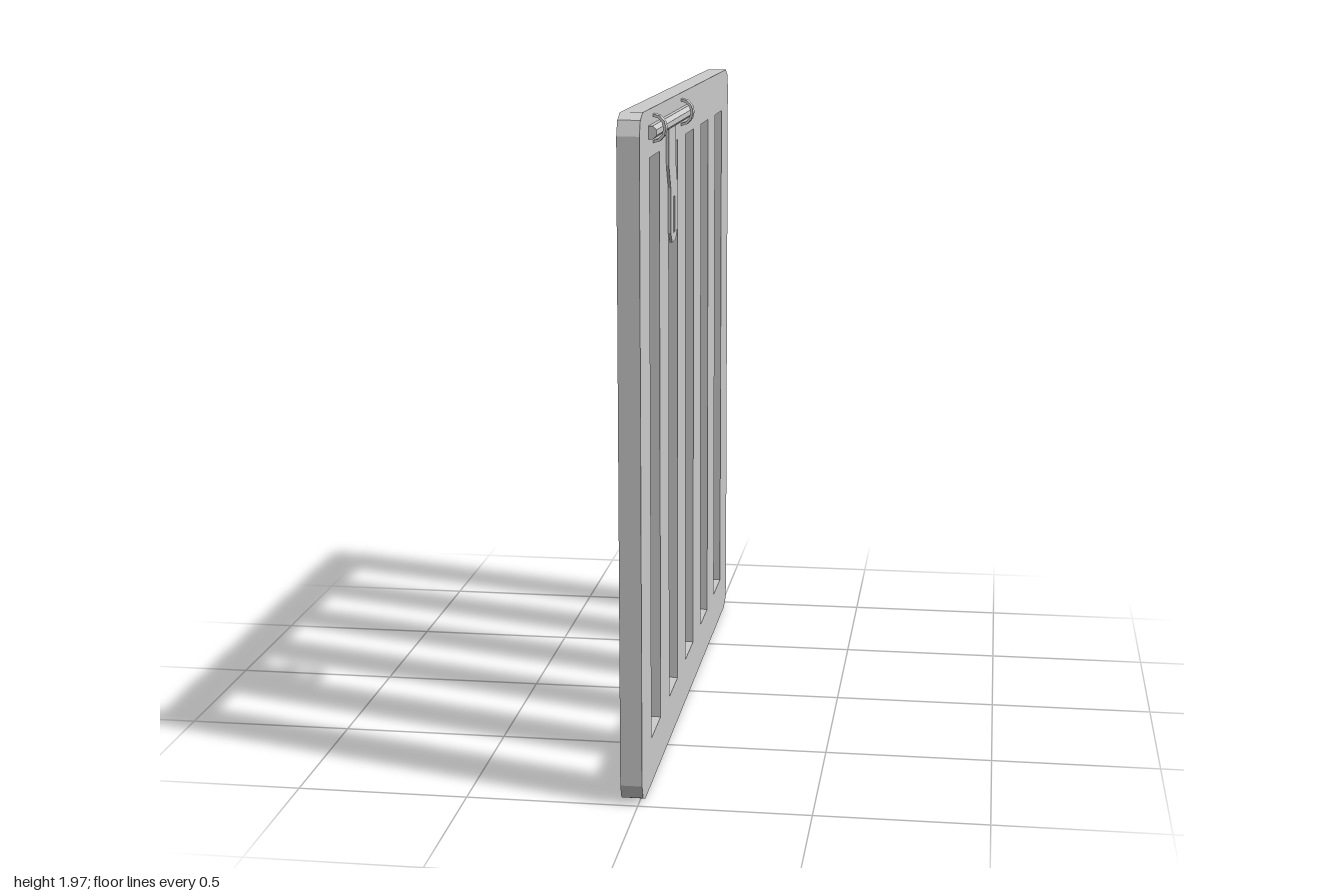
import * as THREE from 'three';

const steel = new THREE.MeshStandardMaterial({ color: 0xcccccc });
steel.name = 'plain grey';

const points = (list) => list.map(([a, b]) => new THREE.Vector2(a, b));

// Extrudes a (z, y) outline through x, from x0 to x1.
// Outlines run clockwise in (z, y), so they are counter-clockwise once z is flipped.
function slab(name, outline, holes, x0, x1) {
  const flip = (list) => points(list.map(([z, y]) => [-z, y]));
  const shape = new THREE.Shape(flip(outline));
  shape.holes = holes.map((h) => new THREE.Path(flip(h)));
  const geo = new THREE.ExtrudeGeometry(shape, { depth: x1 - x0, bevelEnabled: false });
  geo.rotateY(Math.PI / 2).translate(x0, 0, 0);
  const mesh = new THREE.Mesh(geo, steel);
  mesh.name = name;
  return mesh;
}

const rect = (z0, z1, y0, y1) => [[z0, y0], [z1, y0], [z1, y1], [z0, y1]];

export function createModel() {
  const group = new THREE.Group();
  group.name = 'slottedGate';
  const face = 0.013; // x of the panel side that carries the bolt

  // Gate panel with two-step rounded corners
  const H = 1.968, R = 0.06;
  const outline = [];
  const corners = [[1 - R, H - R], [-1 + R, H - R], [-1 + R, R], [1 - R, R]];
  corners.forEach(([cz, cy], i) => {
    for (let k = 0; k <= 2; k++) {
      const a = (i + k / 2) * Math.PI / 2;
      outline.push([cz + R * Math.cos(a), cy + R * Math.sin(a)]);
    }
  });
  const slots = [];
  for (let i = -2; i <= 2; i++) {
    const c = 0.003 - i * 0.364;
    slots.push(rect(c - 0.091, c + 0.091, 0.14, 1.834));
  }
  group.add(slab('gatePanel', outline.reverse(), slots, -0.05, face));

  // Sliding bolt rod, eight-sided with a flat facing outward
  const rodGeo = new THREE.CylinderGeometry(0.02, 0.02, 0.77, 8, 1, false, Math.PI / 8).toNonIndexed();
  rodGeo.rotateX(Math.PI / 2).computeVertexNormals();
  const rod = new THREE.Mesh(rodGeo, steel);
  rod.name = 'boltRod';
  rod.position.set(0.017, 1.905, 0.455);
  group.add(rod);

  // Clamps: thin straps arched over the rod
  const arch = (rx, ry) => Array.from({ length: 7 }, (_, k) => {
    const a = -Math.PI / 2 + k * Math.PI / 6;
    return [face + rx * Math.cos(a), ry * Math.sin(a)];
  });
  const strap = [...arch(0.037, 0.041), ...arch(0.029, 0.033).reverse()];
  for (const z of [0.741, 0.178]) {
    const geo = new THREE.ExtrudeGeometry(new THREE.Shape(points(strap)), { depth: 0.034, bevelEnabled: false });
    const clamp = new THREE.Mesh(geo, steel);
    clamp.name = 'rodClamp';
    clamp.position.set(0, 1.909, z - 0.017);
    group.add(clamp);
  }

  // Hasp plate hanging from the rod, with a staple slot
  const hasp = [
    [0.364, 1.9], [0.364, 1.78], [0.33, 1.713], [0.33, 1.577], [0.364, 1.546],
    [0.438, 1.546], [0.468, 1.575], [0.468, 1.71], [0.505, 1.78], [0.505, 1.9],
  ].reverse();
  group.add(slab('haspPlate', hasp, [rect(0.382, 0.415, 1.572, 1.678)], face, face + 0.008));

  return group;
}
